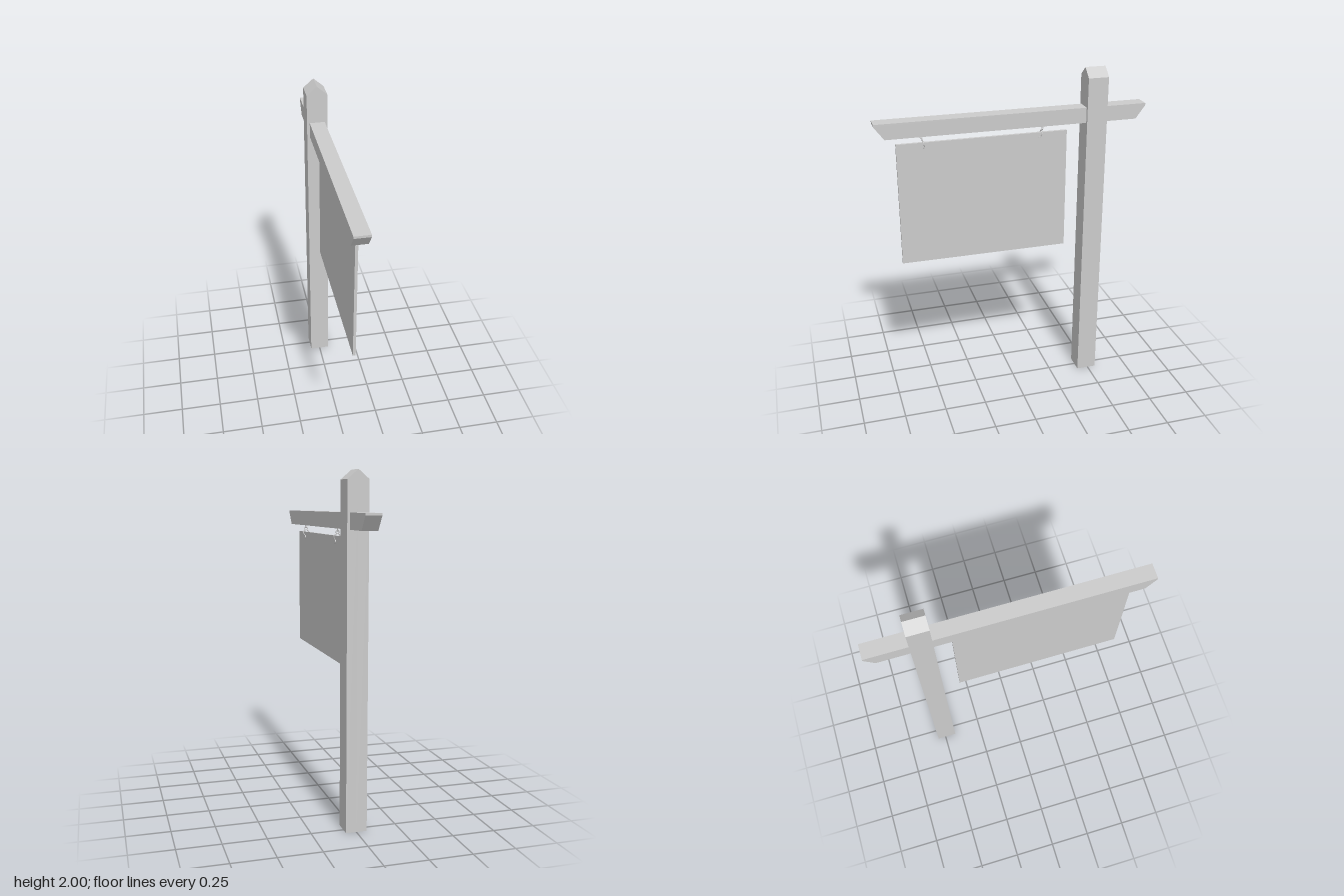
import * as THREE from 'three';

const material = new THREE.MeshStandardMaterial({ color: 0xcccccc, side: THREE.DoubleSide });

function add(parent, name, geometry, x = 0, y = 0, z = 0) {
  const mesh = new THREE.Mesh(geometry, material);
  mesh.name = name;
  mesh.position.set(x, y, z);
  parent.add(mesh);
  return mesh;
}

// Square post: the middle of the top is lifted to a ridge, the underside is left open
function postGeometry(width, shoulder, peak) {
  const box = new THREE.BoxGeometry(width, shoulder, width, 2, 1, 1).translate(0, shoulder / 2, 0);
  const pos = box.attributes.position;
  for (let i = 0; i < pos.count; i++) {
    if (pos.getY(i) > shoulder / 2 && Math.abs(pos.getX(i)) < 0.001) pos.setY(i, peak);
  }
  const bottom = box.groups[3];
  box.setIndex([...box.index.array].filter((_, i) => i < bottom.start || i >= bottom.start + bottom.count));
  box.clearGroups();
  const geometry = box.toNonIndexed();
  geometry.computeVertexNormals();
  return geometry;
}

// Beam with undercut ends, running along z
function beamGeometry(width) {
  const shape = new THREE.Shape([
    [-0.795, 1.775], [-0.795, 1.762], [-0.738, 1.685],
    [0.738, 1.685], [0.795, 1.762], [0.795, 1.775],
  ].map(([z, y]) => new THREE.Vector2(z, y)));
  return new THREE.ExtrudeGeometry(shape, { depth: width, bevelEnabled: false })
    .translate(0, 0, -width / 2)
    .rotateY(-Math.PI / 2);
}

// Leaning hanger: bolt through the panel, shackle over its edge, and a link up to the eye
function createHanger(name, z, lean) {
  const hanger = new THREE.Group();
  hanger.name = name;
  hanger.position.set(0, 1.607, z);
  hanger.rotation.x = lean;

  add(hanger, 'bolt', new THREE.CylinderGeometry(0.011, 0.011, 0.028, 12).rotateZ(Math.PI / 2));
  const arch = new THREE.CatmullRomCurve3([
    [-0.012, 0], [-0.013, 0.012], [-0.019, 0.026], [-0.013, 0.041], [0, 0.047],
    [0.013, 0.041], [0.019, 0.026], [0.013, 0.012], [0.012, 0],
  ].map(([x, y]) => new THREE.Vector3(x, y, 0)));
  add(hanger, 'shackle', new THREE.TubeGeometry(arch, 32, 0.003, 8));
  add(hanger, 'link', new THREE.TorusGeometry(0.01, 0.0025, 8, 20), 0, 0.057, 0);
  return hanger;
}

export function createModel() {
  const model = new THREE.Group();
  model.name = 'hangingSign';

  add(model, 'post', postGeometry(0.122, 1.948, 2), 0, 0, -0.49);
  add(model, 'beam', beamGeometry(0.09));
  add(model, 'signPanel', new THREE.BoxGeometry(0.016, 0.73, 1), 0, 1.275, 0.175);

  // Two hangers mirrored about the middle of the panel
  for (const side of [1, -1]) {
    const label = side > 0 ? 'front' : 'rear';
    model.add(createHanger(label + 'Hanger', 0.175 + side * 0.337, side * 0.27));
    const eyeZ = 0.175 + side * 0.356;
    add(model, label + 'Eye', new THREE.TorusGeometry(0.0075, 0.0025, 8, 20).rotateY(Math.PI / 2), 0, 1.673, eyeZ);
    add(model, label + 'EyeStem', new THREE.CylinderGeometry(0.0025, 0.0025, 0.01, 8), 0, 1.684, eyeZ);
  }
  return model;
}
